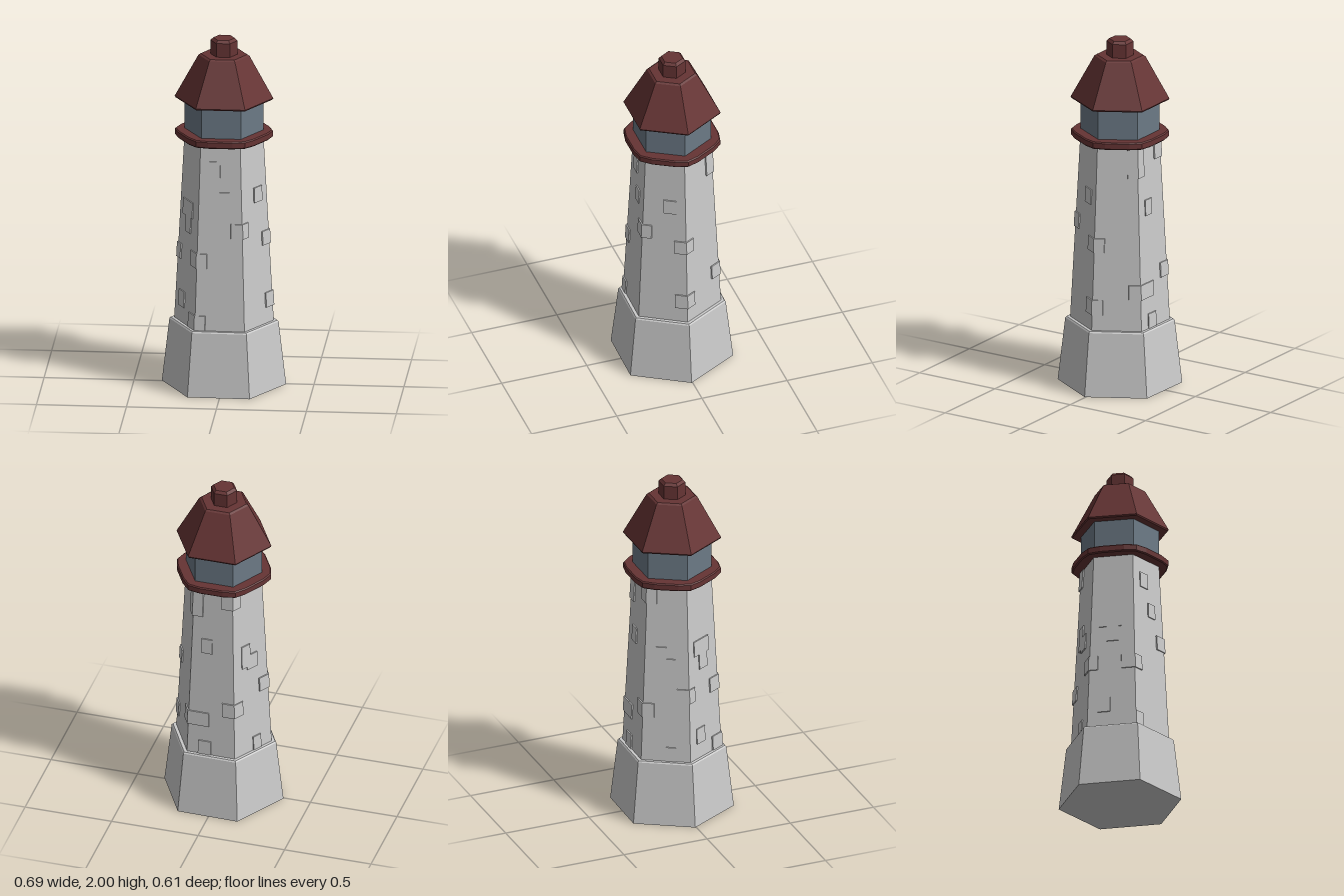
import * as THREE from 'three';

const paint = (color) => new THREE.MeshStandardMaterial({ color, flatShading: true });
const stone = paint(0xcccccc);
const red = paint(0x663434);
const glass = paint(0x6c7a86);

// Six-sided solid turned from [radius, y] pairs, with corners on the x axis
function hex(name, profile, material) {
  const points = profile.map(([r, y]) => new THREE.Vector2(r, y));
  const mesh = new THREE.Mesh(new THREE.LatheGeometry(points, 6, Math.PI / 2), material);
  mesh.name = name;
  return mesh;
}

// Corner radius of the tapered shaft at height y
const shaftRadius = (y) => 0.277 - 0.057 * (y - 0.37) / 1.07;

// Point on a hexagon outline; whole values of u are the corners, from +x towards +z
function hexPoint(u, r) {
  const k = Math.floor(u), t = u - k;
  const a = k * Math.PI / 3, b = a + Math.PI / 3;
  return [
    r * ((1 - t) * Math.cos(a) + t * Math.cos(b)),
    r * ((1 - t) * Math.sin(a) + t * Math.sin(b)),
  ];
}

// Raised stone from u0 to u1, bent around a corner if it spans one
function brick(u0, u1, y0, y1) {
  const geometry = new THREE.BoxGeometry(1, 1, 1, 2, 1, 1);
  const p = geometry.attributes.position;
  const corner = Math.ceil(u0);
  const middle = corner < u1 ? corner : (u0 + u1) / 2;
  for (let i = 0; i < p.count; i++) {
    const side = p.getX(i);
    const u = side > 0.1 ? u0 : side < -0.1 ? u1 : middle;
    const y = p.getY(i) > 0 ? y1 : y0;
    const [x, z] = hexPoint(u, shaftRadius(y) + (p.getZ(i) > 0 ? 0.008 : -0.015));
    p.setXYZ(i, x, y, z);
  }
  geometry.computeVertexNormals();
  const mesh = new THREE.Mesh(geometry, stone);
  mesh.name = 'brick';
  return mesh;
}

// Gallery plate: hexagon with slightly bowed sides and a small bevel
function createGallery() {
  const bevel = 0.006;
  const outline = [];
  for (let k = 0; k < 6; k++) {
    for (const [t, bulge] of [[0, 0], [0.25, 0.014], [0.75, 0.014]]) {
      const [x, z] = hexPoint(k + t, 0.272 - bevel);
      const a = (k + 0.5) * Math.PI / 3;
      outline.push(new THREE.Vector2(x + bulge * Math.cos(a), z + bulge * Math.sin(a)));
    }
  }
  const geometry = new THREE.ExtrudeGeometry(new THREE.Shape(outline), {
    depth: 0.042 - 2 * bevel, bevelEnabled: true, bevelSize: bevel,
    bevelThickness: bevel, bevelSegments: 1,
  });
  geometry.rotateX(-Math.PI / 2);
  const mesh = new THREE.Mesh(geometry, red);
  mesh.name = 'gallery';
  mesh.position.y = 1.43 + bevel;
  return mesh;
}

export function createModel() {
  const model = new THREE.Group();
  model.name = 'lighthouse';

  // Stone tower, turned very slightly
  const tower = new THREE.Group();
  tower.name = 'tower';
  tower.rotation.y = -0.018;
  tower.add(
    hex('base', [[0, 0], [0.346, 0], [0.304, 0.362], [0.297, 0.37], [0, 0.37]], stone),
    hex('shaft', [[shaftRadius(0.36), 0.36], [shaftRadius(1.44), 1.44], [0, 1.44]], stone),
  );

  // Raised stones: start and end around the shaft, bottom and top
  const bricks = [
    // front
    [1.5, 1.76, 1.25, 1.34], [1.28, 1.51, 1.08, 1.165], [0.78, 1.26, 0.9, 0.985],
    [1.78, 2.3, 0.725, 0.81], [1.79, 2.3, 0.372, 0.455],
    // right
    [0.22, 0.52, 1.08, 1.165], [-0.23, 0.28, 0.82, 0.9], [-0.22, 0.26, 0.46, 0.545],
    // left
    [2.29, 2.8, 0.99, 1.08], [2.36, 2.63, 0.9, 0.99], [2.81, 3.27, 0.725, 0.81],
    [2.53, 2.79, 0.46, 0.55], [3.5, 3.75, 0.92, 1.06], [3.3, 3.6, 0.9, 0.99],
    [3.3, 3.5, 0.372, 0.455],
    // back
    [4.75, 5.25, 1.25, 1.43], [4.5, 4.75, 1.02, 1.11], [4.55, 5.25, 0.55, 0.635],
    [4.5, 4.76, 0.372, 0.455], [3.75, 4.27, 0.63, 0.715], [3.75, 4.3, 1.32, 1.43],
  ];
  const stones = new THREE.Group();
  stones.name = 'raisedStones';
  bricks.forEach((b) => stones.add(brick(...b)));
  tower.add(stones);

  // Lantern room, roof and cap
  model.add(
    tower,
    createGallery(),
    hex('lanternRoom', [[0.22, 1.46], [0.22, 1.66]], glass),
    hex('roof', [[0, 1.648], [0.27, 1.648], [0.274, 1.656], [0.142, 1.898], [0.13, 1.906], [0, 1.906]], red),
    hex('roofCap', [[0.075, 1.9], [0.075, 1.985], [0.06, 2], [0, 2]], red),
  );
  return model;
}
